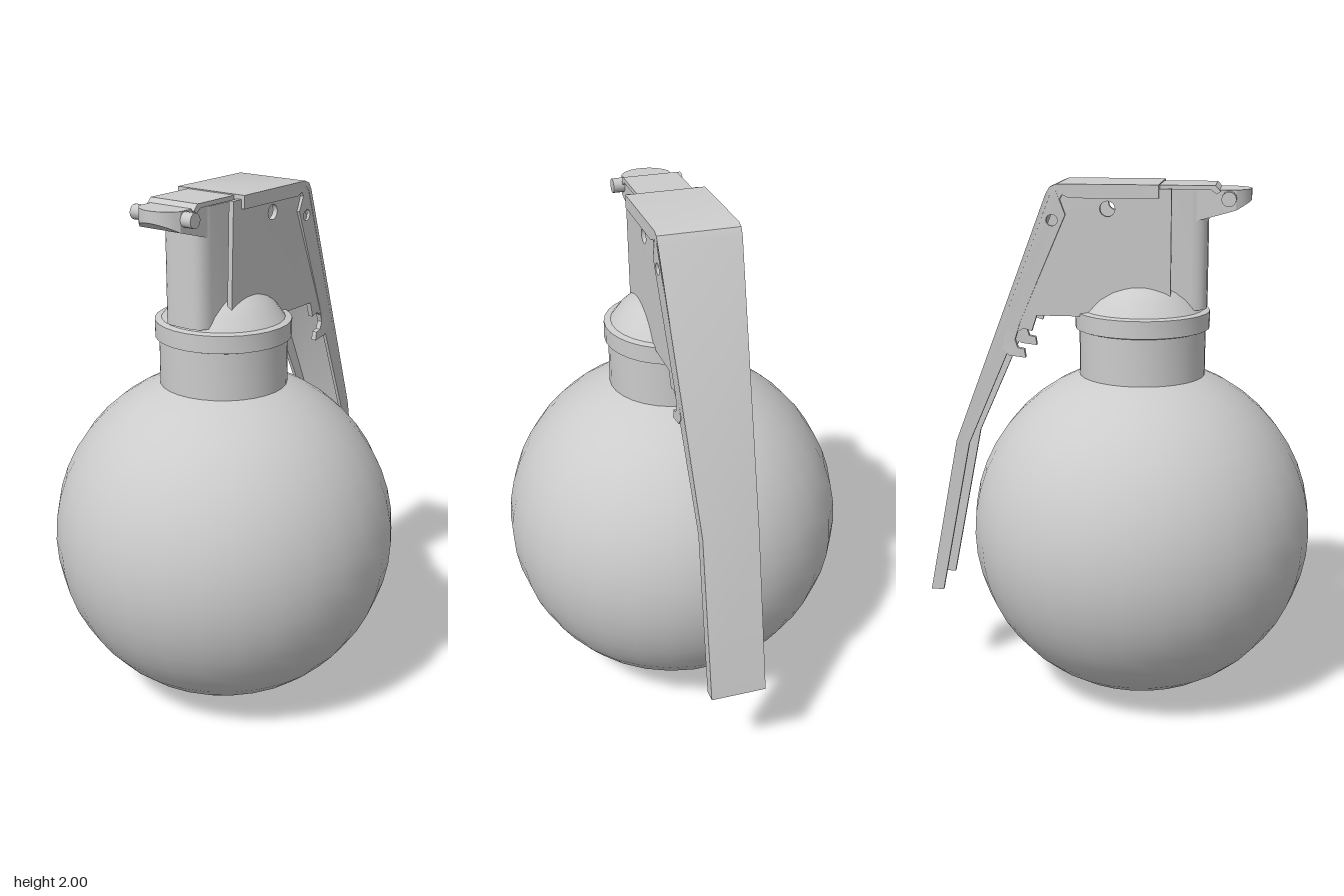
import * as THREE from 'three';
import { toCreasedNormals } from 'three/addons/utils/BufferGeometryUtils.js';

const CZ = 0.095; // z of the body axis
const material = new THREE.MeshStandardMaterial({ color: 0xcccccc, side: THREE.DoubleSide });

function add(parent, name, geometry) {
  const mesh = new THREE.Mesh(toCreasedNormals(geometry, 0.5), material);
  mesh.name = name;
  parent.add(mesh);
  return mesh;
}

// Shape drawn in (z, y), with optional round holes [z, y, r]
function sideShape(points, holes = []) {
  const shape = new THREE.Shape(points.map(p => new THREE.Vector2(...p)));
  for (const [z, y, r] of holes) {
    const hole = new THREE.Path();
    hole.absarc(z, y, r, 0, Math.PI * 2, true);
    shape.holes.push(hole);
  }
  return shape;
}

// Extrudes a (z, y) shape across x, centred on x = cx
function extrudeAcross(shape, width, cx = 0) {
  const g = new THREE.ExtrudeGeometry(shape, { depth: width, bevelEnabled: false, curveSegments: 8 });
  return g.rotateY(-Math.PI / 2).translate(cx + width / 2, 0, 0);
}

// Half width of the lever, narrowing down the handle
const leverHalfWidth = y => THREE.MathUtils.mapLinear(THREE.MathUtils.clamp(y, 1.1, 1.95), 1.1, 1.95, 0.105, 0.15);

function moveX(geometry, rule) {
  const p = geometry.attributes.position;
  for (let i = 0; i < p.count; i++) p.setX(i, rule(p.getX(i), p.getY(i)));
  geometry.computeVertexNormals();
  return geometry;
}

export function createModel() {
  const model = new THREE.Group();

  // Round body
  add(model, 'body', new THREE.SphereGeometry(0.66, 30, 24)).position.set(0, 0.665, CZ);

  // Neck, collar and domed cap
  const profile = [[0.24, 1.24], [0.24, 1.455], [0.255, 1.46], [0.255, 1.525], [0.23, 1.53]];
  for (let i = 1; i <= 7; i++) {
    const r = 0.23 * (1 - i / 7);
    profile.push([r, 1.39 + Math.sqrt(0.27 ** 2 - r * r)]);
  }
  const neck = new THREE.LatheGeometry(profile.map(p => new THREE.Vector2(...p)), 30);
  add(model, 'neckAndCap', neck.rotateY(Math.PI / 2)).position.z = CZ;

  // Front post with rounded front corners, drawn in plan
  const plan = new THREE.Shape();
  plan.moveTo(-0.095, -0.04);
  plan.lineTo(0.095, -0.04);
  plan.lineTo(0.095, -0.28);
  plan.quadraticCurveTo(0.09, -0.335, 0.04, -0.338);
  plan.lineTo(-0.04, -0.338);
  plan.quadraticCurveTo(-0.09, -0.335, -0.095, -0.28);
  const post = new THREE.ExtrudeGeometry(plan, { depth: 0.435, bevelEnabled: false, curveSegments: 6 });
  add(model, 'frontPost', post.rotateX(-Math.PI / 2)).position.y = 1.54;

  // Wedge-shaped tongue with a rounded tip
  const tongueShape = new THREE.Shape();
  tongueShape.moveTo(-0.092, -0.2);
  tongueShape.lineTo(0.092, -0.2);
  tongueShape.lineTo(0.092, -0.44);
  tongueShape.quadraticCurveTo(0.06, -0.495, 0, -0.495);
  tongueShape.quadraticCurveTo(-0.06, -0.495, -0.092, -0.44);
  const tongue = new THREE.ExtrudeGeometry(tongueShape, { depth: 1, bevelEnabled: false, curveSegments: 6 });
  tongue.rotateX(-Math.PI / 2);
  const tp = tongue.attributes.position;
  for (let i = 0; i < tp.count; i++) {
    const under = Math.max(1.84, 1.84 + (tp.getZ(i) - 0.32) * 0.56);
    tp.setY(i, tp.getY(i) > 0.5 ? 1.98 : under);
  }
  tongue.computeVertexNormals();
  add(model, 'tongue', tongue);

  // Cross pin through the tongue
  const pin = new THREE.CylinderGeometry(0.027, 0.027, 0.27, 14).rotateZ(Math.PI / 2);
  add(model, 'crossPin', pin).position.set(0, 1.95, 0.415);

  // Thin strap on top of the post
  const strap = sideShape([[0.385, 1.975], [0.365, 1.996], [0.1, 1.996], [0.1, 1.98], [0.35, 1.98], [0.37, 1.965]]);
  add(model, 'topStrap', extrudeAcross(strap, 0.21));

  // Housing side plates, each with a pin hole and a hook at the rear
  const plate = sideShape([
    [0.21, 1.55], [0.21, 1.985], [-0.19, 1.985], [-0.225, 1.9], [-0.4, 1.46], [-0.425, 1.39],
    [-0.4, 1.36], [-0.335, 1.352], [-0.34, 1.385], [-0.365, 1.39], [-0.375, 1.42], [-0.365, 1.45],
    [-0.34, 1.465], [-0.31, 1.455], [-0.29, 1.515], [0, 1.515],
  ], [[-0.022, 1.912, 0.028], [-0.225, 1.87, 0.012]]);
  // Lever side flanges
  const flange = sideShape([
    [0.165, 1.995], [0.165, 1.952], [-0.16, 1.95], [-0.185, 1.962], [-0.195, 1.945], [-0.175, 1.89],
    [-0.57, 1.0], [-0.697, 0.38], [-0.742, 0.38], [-0.615, 1.01], [-0.24, 1.965], [-0.215, 1.995],
  ], [[-0.225, 1.87, 0.021]]);
  for (const s of [-1, 1]) {
    const side = s > 0 ? 'left' : 'right';
    const housing = moveX(extrudeAcross(plate, 0.02),
      (x, y) => s * 0.127 + x - s * 0.012 * THREE.MathUtils.clamp((1.95 - y) / 0.5, 0, 1));
    add(model, side + 'HousingPlate', housing);
    const wall = moveX(extrudeAcross(flange, 0.014), (x, y) => s * (leverHalfWidth(y) - 0.007) + x);
    add(model, side + 'LeverFlange', wall);
  }

  // Lever skin: top plate bending into the long handle
  const skin = sideShape([
    [0.165, 2], [-0.205, 2], [-0.23, 1.99], [-0.245, 1.965], [-0.62, 1.01], [-0.747, 0.38],
    [-0.733, 0.38], [-0.606, 1.01], [-0.23, 1.96], [-0.205, 1.983], [0.165, 1.983],
  ]);
  add(model, 'leverSkin', moveX(extrudeAcross(skin, 2), (x, y) => x * leverHalfWidth(y)));

  return model;
}
